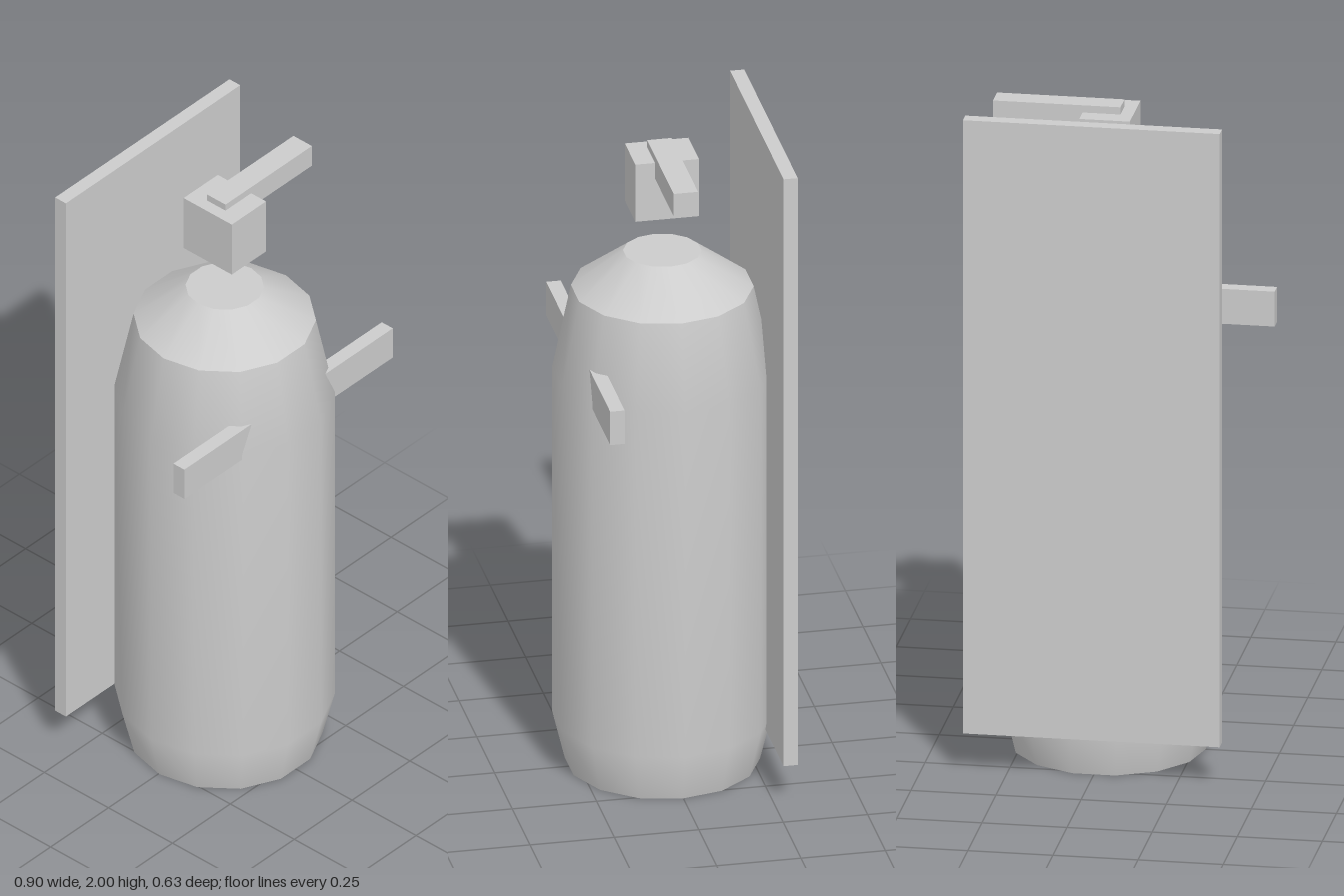
import * as THREE from 'three';

export function createModel() {
  const model = new THREE.Group();
  const grey = new THREE.MeshStandardMaterial({ color: 0xcccccc });
  grey.name = 'lightGrey';

  // Box given by its limits on each axis
  function box(name, [x0, x1], [y0, y1], [z0, z1]) {
    const mesh = new THREE.Mesh(new THREE.BoxGeometry(x1 - x0, y1 - y0, z1 - z0), grey);
    mesh.position.set((x0 + x1) / 2, (y0 + y1) / 2, (z0 + z1) / 2);
    mesh.name = name;
    model.add(mesh);
  }

  // Fourteen-sided tank; separate sections keep sharp edges between them
  const tank = new THREE.Group();
  tank.name = 'tank';
  tank.position.z = 0.003;
  const sections = {
    tankBase: [[0, 0], [0.283, 0]],
    tankWall: [[0.283, 0], [0.32, 0.15], [0.32, 1.25], [0.265, 1.513]],
    tankShoulder: [[0.265, 1.513], [0.114, 1.626]],
    tankTop: [[0.114, 1.626], [0, 1.626]],
  };
  for (const [name, profile] of Object.entries(sections)) {
    const points = profile.map(([r, y]) => new THREE.Vector2(r, y));
    const mesh = new THREE.Mesh(new THREE.LatheGeometry(points, 14, Math.PI / 2), grey);
    mesh.name = name;
    tank.add(mesh);
  }
  model.add(tank);

  // Mounting board behind the tank
  box('backPlate', [-0.377, 0.377], [0.12, 2], [-0.319, -0.277]);

  // Valve block and its lever, above the tank
  box('valveBlock', [-0.075, 0.073], [1.76, 1.943], [-0.09, 0.098]);
  box('lever', [-0.038, 0.336], [1.893, 1.965], [-0.032, 0.04]);

  // Bracket arms set into the front of the tank
  box('leftBracket', [0.13, 0.451], [1.234, 1.341], [0.209, 0.252]);
  box('rightBracket', [-0.451, -0.13], [1.234, 1.341], [0.209, 0.252]);

  return model;
}
